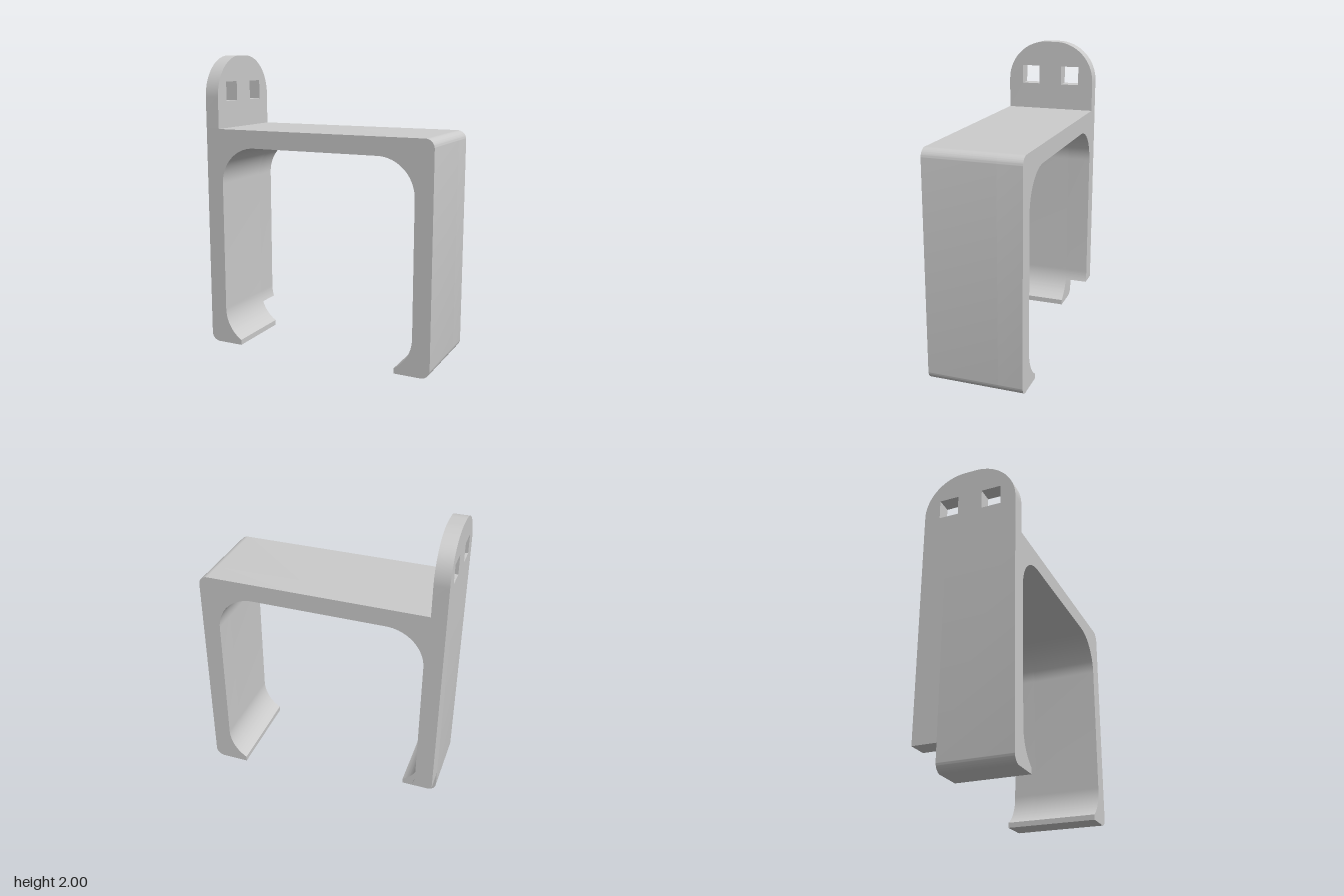
import * as THREE from 'three';
import { toCreasedNormals } from 'three/addons/utils/BufferGeometryUtils.js';

const OUT = 0.815, IN = 0.695, TIP = 0.575;   // half widths: outer, inner, lip tip
const TOP = 1.51, UNDER = 1.39;               // top bar heights
const R = 0.25, CORNER = 0.06;                // inner and outer corner radii
const HALF = 0.317;                           // half depth
const NOTCH_Z = -0.157, NOTCH_Y = 0.17;       // cut in the rear foot of the right leg
const PI = Math.PI;

// Clip outline; with cutFoot the leg at -x stops at the notch height
function clipShape(cutFoot) {
  const s = new THREE.Shape();
  const c = IN - R;
  const tipAngle = Math.acos((TIP - c) / R);
  s.moveTo(-OUT, TOP);
  if (cutFoot) {
    const a = Math.asin((R - NOTCH_Y) / R);
    s.lineTo(-OUT, NOTCH_Y);
    s.lineTo(-c - R * Math.cos(a), NOTCH_Y);
    s.absarc(-c, R, R, PI + a, PI, true);
  } else {
    s.lineTo(-OUT, CORNER);
    s.absarc(-OUT + CORNER, CORNER, CORNER, PI, 1.5 * PI, false);
    s.lineTo(-TIP, 0);
    s.absarc(-c, R, R, PI + tipAngle, PI, true);
  }
  s.absarc(-c, UNDER - R, R, PI, PI / 2, true);
  s.absarc(c, UNDER - R, R, PI / 2, 0, true);
  s.absarc(c, R, R, 0, -tipAngle, true);
  s.lineTo(TIP, 0);
  s.absarc(OUT - CORNER, CORNER, CORNER, -PI / 2, 0, false);
  s.absarc(OUT - CORNER, TOP - CORNER, CORNER, 0, PI / 2, false);
  s.closePath();
  return s;
}

// Round-topped hanging tab with two square holes
function tabShape() {
  const r = 0.28;
  const s = new THREE.Shape();
  s.moveTo(-HALF, TOP);
  s.lineTo(HALF, TOP);
  s.absarc(HALF - r, 2 - r, r, 0, PI / 2, false);
  s.absarc(-HALF + r, 2 - r, r, PI / 2, PI, false);
  s.closePath();
  for (const x of [-0.15, 0.146]) {
    const w = 0.065, y0 = 1.693, y1 = 1.824;
    s.holes.push(new THREE.Path([
      new THREE.Vector2(x - w, y0), new THREE.Vector2(x - w, y1),
      new THREE.Vector2(x + w, y1), new THREE.Vector2(x + w, y0),
    ]));
  }
  return s;
}

export function createModel() {
  const group = new THREE.Group();
  const material = new THREE.MeshStandardMaterial({ color: 0xcccccc });

  function extrude(name, shape, depth) {
    const geo = new THREE.ExtrudeGeometry(shape, { depth, bevelEnabled: false, curveSegments: 14 });
    const mesh = new THREE.Mesh(toCreasedNormals(geo, 0.4), material);
    mesh.name = name;
    group.add(mesh);
    return mesh;
  }

  // C-shaped clip, split where the foot notch begins
  extrude('clipFront', clipShape(false), HALF - NOTCH_Z).position.z = NOTCH_Z;
  extrude('clipRear', clipShape(true), NOTCH_Z + HALF).position.z = -HALF;

  // Tab standing on the right edge of the top bar
  const tab = extrude('hangingTab', tabShape(), 0.098);
  tab.rotation.y = PI / 2;
  tab.position.x = -OUT;

  return group;
}
